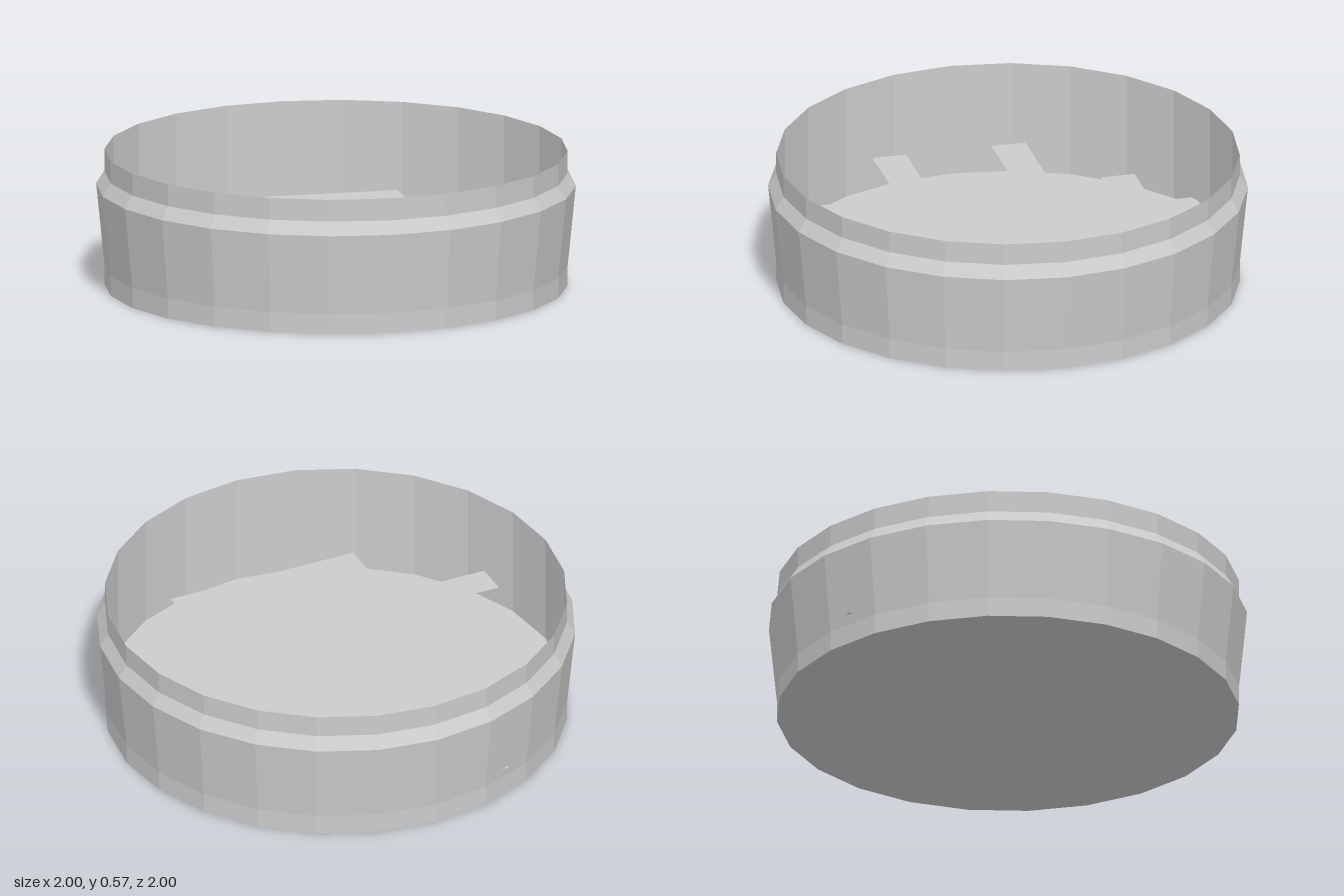
import * as THREE from 'three';

const SIDES = 24;
const R = 0.966;        // radius of foot, lining and rim
const BULGE_R = 1.0;    // widest point of the shell
const RIM_Y = 0.573;
const NECK_Y = 0.48;    // where the shell narrows to the thin rim
const FLOOR_Y = 0.085;

export function createModel() {
  const model = new THREE.Group();
  model.name = 'roundTub';
  const grey = new THREE.MeshStandardMaterial({ color: 0xcccccc, flatShading: true, side: THREE.DoubleSide });
  grey.name = 'plain grey';

  const lathe = (name, profile) => {
    const points = profile.map(([r, y]) => new THREE.Vector2(r, y));
    const mesh = new THREE.Mesh(new THREE.LatheGeometry(points, SIDES), grey);
    mesh.name = name;
    model.add(mesh);
  };

  // Closed underside, flared outer wall and thin stepped-in rim
  lathe('outerShell', [[0, 0], [R, 0], [R, FLOOR_Y], [BULGE_R, 0.425], [R, NECK_Y], [R, RIM_Y]]);
  // Straight lining from the neck down to the floor
  lathe('innerWallAndFloor', [[R, NECK_Y], [R, FLOOR_Y], [0, FLOOR_Y]]);

  // Flat slat spanning x0..x1 and z0..z1 at height y
  const slat = (name, x0, x1, z0, z1, y) => {
    const geometry = new THREE.PlaneGeometry(x1 - x0, z1 - z0).rotateX(-Math.PI / 2);
    const mesh = new THREE.Mesh(geometry, grey);
    mesh.name = name;
    mesh.position.set((x0 + x1) / 2, y, (z0 + z1) / 2);
    model.add(mesh);
  };

  // Lower slats, running front to back
  for (const [x0, x1, z0, z1] of [
    [-0.72, -0.575, -0.465, 0.378],
    [-0.37, -0.225, -0.902, 0.808],
    [0.15, 0.293, -0.902, 0.808],
    [0.51, 0.655, -0.465, 0.378],
  ]) slat('lowerSlat', x0, x1, z0, z1, 0.13);

  // Upper slats, running side to side
  for (const [halfLength, z0, z1] of [
    [0.42, -0.651, -0.507],
    [0.855, -0.293, -0.147],
    [0.855, 0.22, 0.365],
    [0.42, 0.583, 0.724],
  ]) slat('upperSlat', -halfLength, halfLength, z0, z1, 0.24);

  return model;
}
